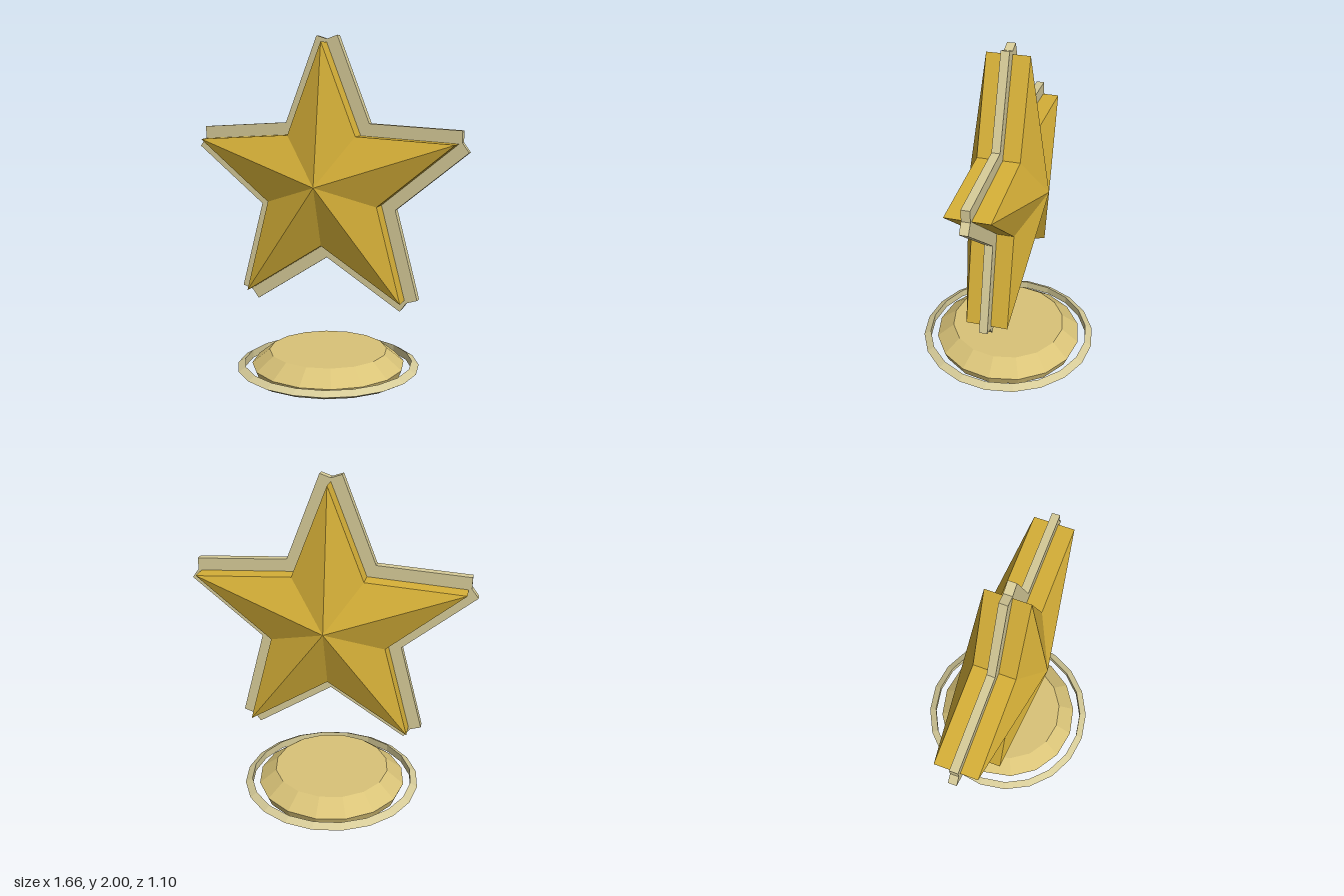
import * as THREE from 'three';

const STAR_Y = 1.147;

// point at a given radius and angle in degrees
const polar = (r, deg) => {
  const a = THREE.MathUtils.degToRad(deg);
  return new THREE.Vector2(r * Math.cos(a), r * Math.sin(a));
};

// faceted star: straight side walls with a pyramid on the front and back
function starGeometry(outer, inner, half, apex) {
  const pos = [];
  const pts = [];
  for (let i = 0; i < 10; i++) pts.push(polar(i % 2 ? inner : outer, 90 + i * 36));
  pts.forEach((a, i) => {
    const b = pts[(i + 1) % 10];
    pos.push(a.x, a.y, half, b.x, b.y, half, 0, 0, apex);
    pos.push(b.x, b.y, -half, a.x, a.y, -half, 0, 0, -apex);
    pos.push(a.x, a.y, -half, b.x, b.y, -half, b.x, b.y, half);
    pos.push(a.x, a.y, -half, b.x, b.y, half, a.x, a.y, half);
  });
  const g = new THREE.BufferGeometry();
  g.setAttribute('position', new THREE.Float32BufferAttribute(pos, 3));
  g.computeVertexNormals();
  return g;
}

// flat star border with a small notch in every tip
function borderGeometry(depth) {
  const pts = [];
  const tipR = Math.hypot(0.063, 0.853);
  const tipA = THREE.MathUtils.radToDeg(Math.atan2(0.063, 0.853));
  for (let i = 0; i < 5; i++) {
    const a = 90 + i * 72;
    pts.push(polar(tipR, a - tipA), polar(0.832, a), polar(tipR, a + tipA), polar(0.438, a + 36));
  }
  const g = new THREE.ExtrudeGeometry(new THREE.Shape(pts), { depth, bevelEnabled: false });
  g.translate(0, 0, -depth / 2);
  return g;
}

export function createModel() {
  const material = (name, color) => {
    const m = new THREE.MeshStandardMaterial({ color });
    m.name = name;
    m.flatShading = true;
    return m;
  };
  const gold = material('gold', 0xd6b038);
  const sand = material('sand', 0xd9c378);
  const cream = material('cream', 0xd6cb98);

  const model = new THREE.Group();
  model.name = 'starOnBase';
  const add = (name, geometry, mat, y) => {
    const mesh = new THREE.Mesh(geometry, mat);
    mesh.name = name;
    mesh.position.y = y;
    model.add(mesh);
    return mesh;
  };

  // floating star
  add('star', starGeometry(0.813, 0.352, 0.122, 0.242), gold, STAR_Y);
  add('starBorder', borderGeometry(0.048), cream, STAR_Y);

  // base disc with chamfered top and slightly tapered foot
  const profile = [[0, 0], [0.437, 0], [0.46, 0.057], [0.355, 0.14], [0, 0.14]];
  add('baseDisc', new THREE.LatheGeometry(profile.map(([x, y]) => new THREE.Vector2(x, y)), 16), sand, 0);

  // thin triangular ring around the base
  const ring = add('baseRing', new THREE.TorusGeometry(0.519, 0.029, 3, 20), cream, 0.045);
  ring.rotation.x = -Math.PI / 2;

  return model;
}
